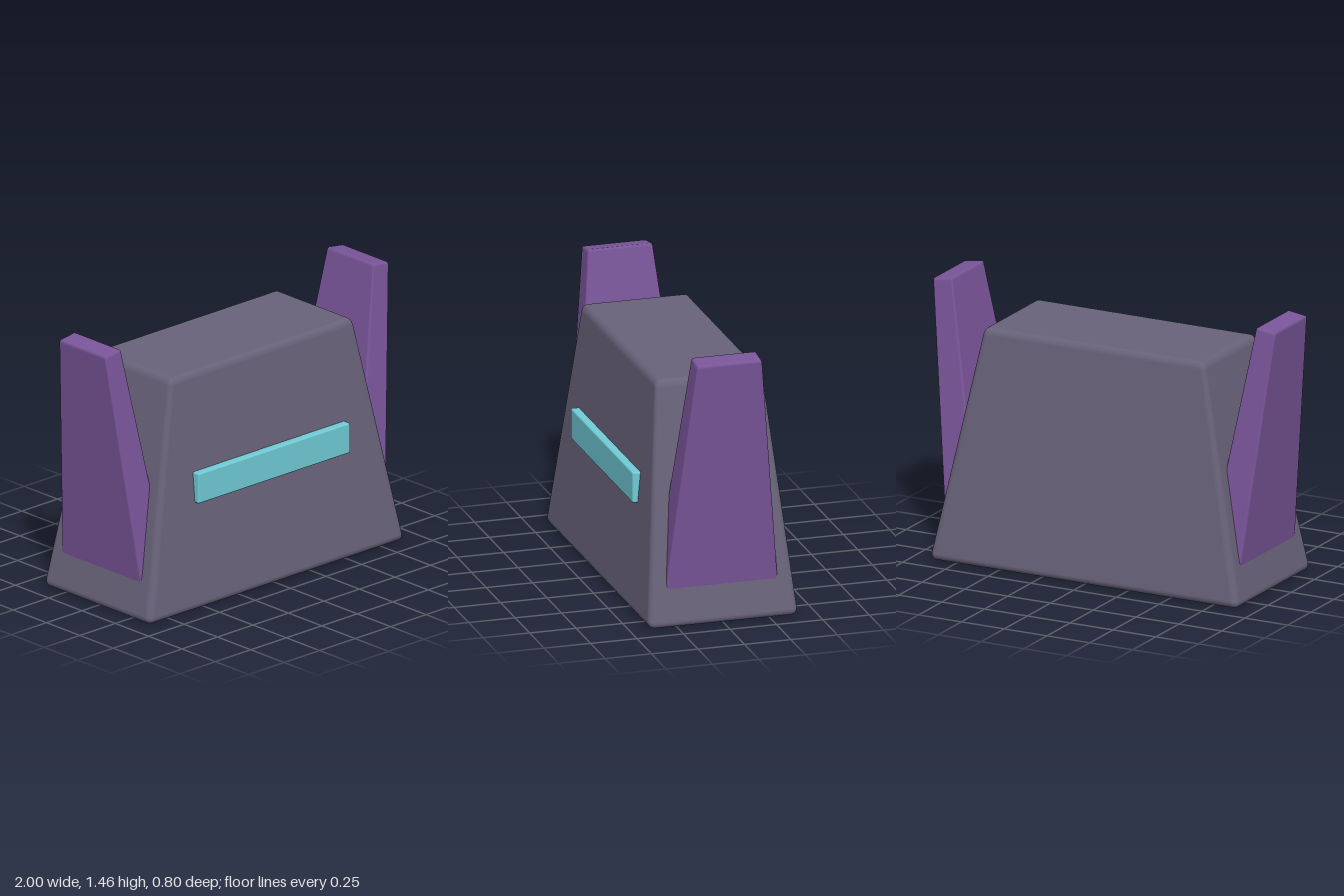
import * as THREE from 'three';
import { RoundedBoxGeometry } from 'three/addons/geometries/RoundedBoxGeometry.js';
import { mergeVertices } from 'three/addons/utils/BufferGeometryUtils.js';

// Rounded box standing on y = 0 whose cross-section shrinks towards the top
function taperedBox(width, height, depth, radius, topScale) {
  let geometry = new RoundedBoxGeometry(width, height, depth, 5, radius);
  geometry.translate(0, height / 2, 0);
  const position = geometry.attributes.position;
  for (let i = 0; i < position.count; i++) {
    const s = 1 + (topScale - 1) * (position.getY(i) / height);
    position.setX(i, position.getX(i) * s);
    position.setZ(i, position.getZ(i) * s);
  }
  geometry.deleteAttribute('normal');
  geometry.deleteAttribute('uv');
  geometry.clearGroups();
  geometry = mergeVertices(geometry, 1e-4);
  geometry.computeVertexNormals();
  return geometry;
}

export function createModel() {
  const model = new THREE.Group();
  model.name = 'model';

  const bodyGrey = new THREE.MeshStandardMaterial({ color: 0x686279 });
  bodyGrey.name = 'bodyGrey';
  const finPurple = new THREE.MeshStandardMaterial({ color: 0x7a559a });
  finPurple.name = 'finPurple';
  const barCyan = new THREE.MeshStandardMaterial({ color: 0x70cbd6 });
  barCyan.name = 'barCyan';

  const add = (name, geometry, material) => {
    const mesh = new THREE.Mesh(geometry, material);
    mesh.name = name;
    model.add(mesh);
    return mesh;
  };

  // Tapered main body
  add('body', taperedBox(1.81, 1.26, 0.81, 0.04, 0.71), bodyGrey);

  // Side fins, leaning outwards
  const finGeometry = taperedBox(0.195, 1.26, 0.605, 0.016, 0.575);
  for (const side of [-1, 1]) {
    const fin = add(side > 0 ? 'leftFin' : 'rightFin', finGeometry, finPurple);
    fin.position.set(side * 0.765, 0.203, 0);
    fin.rotation.z = -side * 0.143;
  }

  // Raised bar on the front
  const bar = add('frontBar', new RoundedBoxGeometry(1.07, 0.165, 0.06, 3, 0.008), barCyan);
  bar.position.set(0, 0.653, 0.349);

  return model;
}
